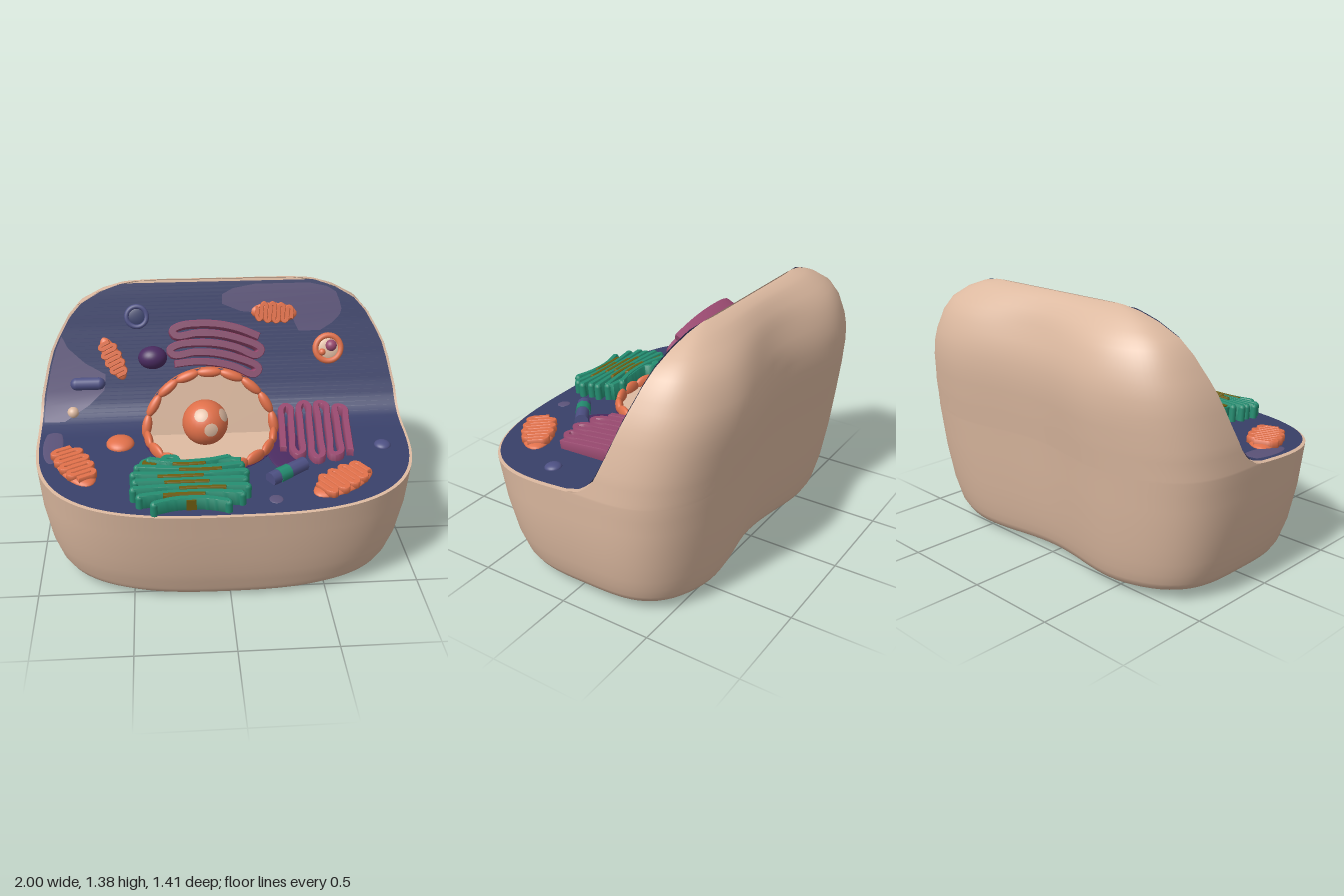
import * as THREE from 'three';
import { toCreasedNormals, mergeGeometries, mergeVertices } from 'three/addons/utils/BufferGeometryUtils.js';

const mat = (name, color, side = THREE.FrontSide) => {
  const m = new THREE.MeshStandardMaterial({ color, side });
  m.name = name;
  return m;
};
const M = {
  membrane: mat('membrane beige', 0xdcb9a0, THREE.DoubleSide),
  cytoplasm: mat('cytoplasm navy', 0x394069, THREE.DoubleSide),
  patch: mat('patch lavender', 0x5b5379, THREE.DoubleSide),
  orange: mat('orange', 0xe0704a),
  purple: mat('purple', 0x98496f),
  deepPurple: mat('deep purple', 0x7d3d61),
  violet: mat('dark violet', 0x4a2b60),
  green: mat('green', 0x248c70),
  olive: mat('olive', 0x6e5c10),
  slate: mat('slate blue', 0x4d5083),
};

// Heights with half width, front z and back z of the outer body
const LOWER = [[0, 0, -0.05, -0.05], [0.001, 0.76, 0.5, -0.45], [0.012, 0.84, 0.54, -0.52], [0.04, 0.895, 0.565, -0.57],
  [0.08, 0.92, 0.58, -0.592], [0.2, 0.955, 0.62, -0.62], [0.4, 0.985, 0.665, -0.65], [0.65, 1, 0.71, -0.68]];
const UPPER = [[0.65, 1, -0.68], [0.8, 0.985, -0.702], [0.95, 0.95, -0.72], [1.03, 0.925, -0.72], [1.1, 0.89, -0.712],
  [1.2, 0.83, -0.68], [1.27, 0.765, -0.635], [1.33, 0.655, -0.57], [1.365, 0.55, -0.515], [1.38, 0.46, -0.47], [1.383, 0.41, -0.445]];
// Height and z of the cut wall
const WALL = [[0.65, -0.05], [0.66, -0.105], [0.68, -0.145], [0.71, -0.18], [0.75, -0.21], [0.825, -0.245],
  [0.97, -0.3], [1.145, -0.36], [1.315, -0.412], [1.383, -0.435]];
const N_FRONT = 3, N_BACK = 3.8;

function lookup(table, y, k) {
  let i = 1;
  while (i < table.length - 1 && table[i][0] < y) i++;
  const a = table[i - 1], b = table[i];
  return THREE.MathUtils.lerp(a[k], b[k], THREE.MathUtils.clamp((y - a[0]) / (b[0] - a[0]), 0, 1));
}
const wallZ = (y) => lookup(WALL, y, 1);
const floorY = (z) => 0.65 - 0.092 * Math.max(0, z + 0.05);

// Rounded square of unit half width at polar angle a
function unitOutline(a, n) {
  const c = Math.cos(a), s = Math.sin(a), r = (Math.abs(c) ** n + Math.abs(s) ** n) ** (-1 / n);
  return [c * r, s * r];
}

// Centre of the outline above the floor, and the unit point where the wall cuts it
const centreZ = (y) => THREE.MathUtils.lerp(-0.05, wallZ(y), ((y - 0.65) / 0.733) ** 1.5);
function cutPoint(y) {
  const zc = centreZ(y), q = Math.max(0, (zc - wallZ(y)) / (zc - lookup(UPPER, y, 2)));
  return [(1 - q ** N_BACK) ** (1 / N_BACK), q];
}
const cutWidth = (y) => lookup(UPPER, y, 1) * cutPoint(y)[0];

// Surface through equal-length rows of points
function loft(rows) {
  const n = rows[0].length, index = [];
  for (let i = 0; i < rows.length - 1; i++)
    for (let j = 0; j < n - 1; j++) {
      const a = i * n + j, c = a + n;
      index.push(a, c, a + 1, a + 1, c, c + 1);
    }
  const g = new THREE.BufferGeometry();
  g.setAttribute('position', new THREE.Float32BufferAttribute(rows.flat(2), 3));
  g.setIndex(index);
  g.computeVertexNormals();
  return g;
}

// One point of the body outline, with a groove down the back
function outline(a, w, zc, zf, zb) {
  const front = Math.sin(a) > 0, [u, v] = unitOutline(a, front ? N_FRONT : N_BACK);
  const x = w * u, depth = front ? zf - zc : zc - zb;
  const wave = Math.abs(x) < 0.58 ? 0.5 + 0.5 * Math.cos(Math.PI * x / 0.58) : 0;
  const groove = front ? 0 : 0.08 * Math.min(1, depth / 0.4) * wave * -v;
  return [x, zc + depth * v + groove];
}

// Closed lower body joined to the upright back lobe
function outerShell() {
  const low = [0, 0.001, 0.006, 0.012, 0.025, 0.04, 0.06, 0.08, 0.13, 0.2, 0.3, 0.4, 0.5, 0.58, 0.65];
  const high = [0.65, 0.66, 0.68, 0.71, 0.75, 0.8, 0.88, 0.95, 1.03, 1.1, 1.15, 1.2, 1.235, 1.27, 1.3, 1.33, 1.35, 1.365, 1.38, 1.383];
  const lower = loft(low.map((y) => Array.from({ length: 129 }, (_, j) => {
    const [x, z] = outline(j / 128 * Math.PI * 2, lookup(LOWER, y, 1), -0.05, lookup(LOWER, y, 2), lookup(LOWER, y, 3));
    return [x, y / 0.65 * floorY(z) + 0.035 * x * x * (1 - y / 0.65), z];
  })));
  const upper = loft(high.map((y) => Array.from({ length: 65 }, (_, j) => {
    const [u, v] = cutPoint(y), a0 = Math.atan2(v, u), a = Math.PI + a0 + (Math.PI - 2 * a0) * j / 64;
    const [x, z] = outline(a, lookup(UPPER, y, 1), centreZ(y), 0, lookup(UPPER, y, 2));
    return [x, y, z];
  })));
  const joined = mergeGeometries([lower, upper]);
  joined.deleteAttribute('normal');
  const shell = mergeVertices(joined, 1e-4);
  shell.computeVertexNormals();
  return shell;
}

// Floor that sweeps up into the back wall
function cutFace(inset, lift) {
  const rows = [];
  const add = (w, y, z) => rows.push([[w, y + lift, z + lift], [-w, y + lift, z + lift]]);
  for (let k = 0; k <= 32; k++) {
    const [u, v] = unitOutline((1 - k / 32) * Math.PI / 2, N_FRONT), z = -0.05 + (0.76 - inset) * v;
    add((1 - inset) * u, floorY(z), z);
  }
  for (let k = 1; k <= 36; k++) {
    const y = 0.65 + (0.733 - inset) * k / 36;
    add(cutWidth(y) - inset, y, wallZ(y));
  }
  return loft(rows);
}

// Painted area on the wall from rows of y, left x, right x
const wallPatch = (rows) => loft(rows.map(([y, l, r]) => {
  const w = cutWidth(y) - 0.025;
  return [[Math.min(r, w), y + 0.008, wallZ(y) + 0.011], [Math.max(l, -w), y + 0.008, wallZ(y) + 0.011]];
}));

// Folded sheet: a thick line extruded along z
function ribbon(pts, half, depth) {
  const curve = new THREE.CatmullRomCurve3(pts.map(([x, y]) => new THREE.Vector3(x, y, 0)));
  const n = pts.length * 5, left = [], right = [];
  for (let i = 0; i <= n; i++) {
    const p = curve.getPoint(i / n), t = curve.getTangent(i / n);
    left.push(new THREE.Vector2(p.x - t.y * half, p.y + t.x * half));
    right.unshift(new THREE.Vector2(p.x + t.y * half, p.y - t.x * half));
  }
  const g = new THREE.ExtrudeGeometry(new THREE.Shape([...left, ...right]),
    { depth, bevelThickness: 0.004, bevelSize: 0.003, bevelSegments: 1 });
  return toCreasedNormals(g, 0.8);
}

// Back-and-forth path of n rows along x
function serpentine(n, pitch, len, bow = 0) {
  const pts = [];
  for (let i = 0; i < n; i++) {
    const y = (i - (n - 1) / 2) * pitch, d = i % 2 ? -1 : 1, h = len(i) / 2;
    for (const u of [-1, -0.5, 0, 0.5, 1]) pts.push([u * d * h, y - bow * (u * h) ** 2]);
    if (i < n - 1) pts.push([d * (h + pitch * 0.45), y + pitch / 2 - bow * h * h]);
  }
  return pts;
}

export function createModel() {
  const root = new THREE.Group();
  const add = (parent, name, g, m, x = 0, y = 0, z = 0) => {
    const o = new THREE.Mesh(g, m);
    o.name = name;
    o.position.set(x, y, z);
    parent.add(o);
    return o;
  };
  const ball = (r, sx = 1, sy = 1, sz = 1) => new THREE.SphereGeometry(r, 28, 18).scale(sx, sy, sz);
  const ring = (r, t) => new THREE.TorusGeometry(r, t, 10, 32).rotateX(Math.PI / 2);
  // Groups whose local y points out of the floor or the wall
  const spot = (name, x, y, z, tilt, turn) => {
    const o = new THREE.Group(), inner = new THREE.Group();
    o.name = name;
    o.position.set(x, y, z);
    o.rotation.x = tilt;
    inner.rotation.y = turn;
    o.add(inner);
    root.add(o);
    return inner;
  };
  const onFloor = (name, x, z, turn = 0) => spot(name, x, floorY(z) + 0.006, z, 0.09, turn);
  const onWall = (name, x, y, turn = 0) =>
    spot(name, x, y, wallZ(y) + 0.006, Math.atan2(1, -(wallZ(y + 0.03) - wallZ(y - 0.03)) / 0.06), turn);

  // Outer body and cut interior
  add(root, 'membrane', outerShell(), M.membrane);
  add(root, 'membraneRim', cutFace(0, 0), M.membrane);
  add(root, 'cytoplasm', cutFace(0.016, 0.006), M.cytoplasm);
  add(root, 'rightPatch', wallPatch([[1.1, 0.44, 0.56], [1.14, 0.42, 0.63], [1.18, 0.4, 0.67], [1.21, 0.12, 0.68],
    [1.25, 0.02, 0.67], [1.3, 0.02, 0.65], [1.33, 0.08, 0.6], [1.35, 0.2, 0.5]]), M.patch);
  add(root, 'leftPatch', wallPatch([[0.68, -1, -0.86], [0.75, -1, -0.72], [0.82, -1, -0.64], [0.9, -1, -0.63],
    [0.96, -1, -0.74], [1.04, -1, -0.83], [1.1, -1, -0.86]]), M.patch);
  add(onFloor('floorPatch', 0.22, 0.59), 'patch', ball(0.035, 1, 0.15, 1), M.patch);
  add(onFloor('sidePatch', -0.91, 0.06), 'patch', ball(0.14, 0.38, 0.04, 1.2), M.patch);

  // Nucleus: leaning dome, cream cut faces and a chunky envelope
  const nucleus = new THREE.Group();
  nucleus.name = 'nucleus';
  nucleus.position.set(-0.07, 0.65, 0);
  root.add(nucleus);
  const dome = new THREE.Group();
  dome.name = 'dome';
  dome.rotation.x = -0.24;
  nucleus.add(dome);
  add(dome, 'envelope', new THREE.SphereGeometry(0.37, 40, 24, Math.PI, Math.PI, 0, Math.PI * 0.6), M.orange);
  add(dome, 'cutFace', new THREE.CircleGeometry(0.355, 40, 0, Math.PI), M.membrane, 0, 0, 0.002);
  const base = new THREE.Group();
  base.name = 'base';
  base.rotation.x = 0.09;
  nucleus.add(base);
  add(base, 'baseRim', new THREE.CylinderGeometry(0.36, 0.37, 0.04, 40), M.violet, 0, -0.015, 0);
  add(base, 'baseFace', new THREE.CircleGeometry(0.34, 40, Math.PI, Math.PI).rotateX(-Math.PI / 2), M.membrane, 0, 0.01, 0);
  for (let i = 0; i < 9; i++) {
    const a = (i + 0.5) / 9 * Math.PI, c = Math.cos(a), s = Math.sin(a);
    add(dome, 'envelopeChunk', ball(0.03, 0.9, 2.25, 0.9), M.orange, c * 0.346, s * 0.346, 0).rotation.z = a;
    add(base, 'envelopeChunk', ball(0.03, 0.75, 1.4, 2.25), M.orange, c * 0.338, 0.02, s * 0.338).rotation.y = -a;
  }
  add(root, 'nucleolus', ball(0.122), M.orange, -0.1, 0.75, 0.04);
  for (const dir of [[0.76, 0.5, 0.35], [-0.2, 0.65, 0.65], [0.2, 0.1, 0.95]]) {
    const cap = add(root, 'nucleolusSpot', new THREE.SphereGeometry(0.125, 16, 5, 0, Math.PI * 2, 0, 0.3), M.membrane, -0.1, 0.75, 0.04);
    cap.quaternion.setFromUnitVectors(new THREE.Vector3(0, 1, 0), new THREE.Vector3(...dir).normalize());
  }

  // Folded sheets above and beside the nucleus
  const top = add(root, 'upperFoldedSheets', ribbon(serpentine(5, 0.051, (i) => 0.42 + 0.03 * (i % 2), 0.8), 0.016, 0.27),
    [M.deepPurple, M.purple], -0.02, 1.02, -0.37);
  top.rotation.set(-0.43, 0, -0.16);
  const side = onFloor('sideFoldedSheets', 0.49, 0.04, Math.PI / 2 - 0.08);
  add(side, 'folds', ribbon(serpentine(8, 0.05, (i) => 0.46 - 0.03 * Math.abs(i - 3)), 0.014, 0.085).rotateX(-Math.PI / 2),
    M.purple, 0, -0.03, 0).rotation.z = 0.07;
  add(onFloor('sheetBase', 0.31, 0.14), 'sheetBase', ball(0.12, 0.8, 0.1, 1.9), M.violet);

  // Stack of curved green sacs with olive cores between them
  const stack = onFloor('sacStack', -0.2, 0.505);
  [0.2, 0.26, 0.28, 0.27, 0.28, 0.25, 0.18].forEach((h, j) => {
    const z = (j - 3) * 0.043, bend = (j - 3) * 0.012;
    const path = (k) => [-1, -0.5, 0, 0.5, 1].map((u) => [u * h * k, -z - bend * (u * k) ** 2]);
    const depth = 0.115 - 0.005 * j;
    add(stack, 'sac', ribbon(path(1), 0.012, depth).rotateX(-Math.PI / 2), M.green, 0, -0.02, 0);
    if (j < 6) add(stack, 'sacCore', ribbon(path(0.4), 0.008, depth + 0.002).rotateX(-Math.PI / 2), M.olive, 0.06 * Math.sin(j * 2), -0.02, 0.022);
    for (const s of [-1, 1])
      add(stack, 'sacEnd', new THREE.CapsuleGeometry(0.02, depth - 0.03, 4, 12), M.green, s * h, depth / 2 - 0.02, z + bend);
  });
  add(stack, 'frontCore', new THREE.BoxGeometry(0.05, 0.06, 0.006), M.olive, 0, 0.03, 0.146);
  add(stack, 'looseLoop', new THREE.CylinderGeometry(0.052, 0.052, 0.09, 24), M.green, -0.2, 0.035, -0.14);
  add(stack, 'loopCore', new THREE.CylinderGeometry(0.036, 0.036, 0.006, 24), M.olive, -0.2, 0.082, -0.14);
  add(stack, 'curledSac', ribbon([[-0.13, 0.13], [-0.12, 0.18], [-0.07, 0.18], [-0.05, 0.14], [0.05, 0.14], [0.15, 0.15], [0.26, 0.14]],
    0.013, 0.1).rotateX(-Math.PI / 2), M.green, 0, -0.01, 0);

  // Bean-shaped organelles with inner folds
  const bean = (o, len, wid) => {
    add(o, 'body', ball(1, len / 2, 0.032, wid / 2), M.orange);
    const n = 9, pitch = len * 0.82 / n;
    const width = (i) => wid * 0.72 * Math.sqrt(1 - ((i - 4) / 5.2) ** 2);
    add(o, 'folds', ribbon(serpentine(n, pitch, width), pitch * 0.33, 0.03).rotateX(-Math.PI / 2).rotateY(Math.PI / 2),
      M.orange, 0, 0.003, 0);
  };
  bean(onFloor('leftBean', -0.785, 0.26, -1.1), 0.38, 0.17);
  bean(onFloor('rightBean', 0.575, 0.465, 0.6), 0.38, 0.17);
  bean(onWall('upperLeftBean', -0.585, 0.985, -1.13), 0.26, 0.095);
  bean(onWall('upperRightBean', 0.305, 1.205, -0.08), 0.26, 0.11);

  // Small vesicles
  add(onFloor('orangeVesicle', -0.555, 0.06), 'body', ball(0.075, 1, 0.5, 1), M.orange);
  const cup = onWall('openVesicle', 0.605, 1.01);
  add(cup, 'rim', ring(0.07, 0.018), M.orange);
  add(cup, 'filling', ball(0.065, 1, 0.3, 1), M.membrane);
  add(cup, 'granule', ball(0.033), M.purple, 0.015, 0.008, -0.015);
  add(cup, 'granule', ball(0.02), M.orange, -0.035, 0.012, 0.02);
  const hollow = onWall('hollowVesicle', -0.45, 1.2);
  add(hollow, 'rim', ring(0.055, 0.014), M.slate);
  add(hollow, 'filling', ball(0.05, 1, 0.2, 1), M.cytoplasm);
  add(onWall('darkVesicle', -0.37, 0.985), 'body', ball(0.08, 1, 0.9, 0.8), M.violet);
  add(onWall('rodVesicle', -0.73, 0.86), 'body', new THREE.CapsuleGeometry(0.036, 0.12, 6, 16).rotateZ(Math.PI / 2), M.slate);
  add(onWall('paleVesicle', -0.815, 0.72), 'body', ball(0.033), M.membrane);
  add(onFloor('smallVesicle', 0.84, 0.15), 'body', ball(0.044, 1, 0.5, 1), M.slate);

  // Short ribbed tube
  const tube = onFloor('tube', 0.3, 0.39, 0.6);
  add(tube, 'body', new THREE.CylinderGeometry(0.038, 0.038, 0.23, 9).rotateZ(Math.PI / 2), M.slate, 0, 0.02, 0);
  add(tube, 'band', new THREE.CylinderGeometry(0.041, 0.041, 0.07, 9).rotateZ(Math.PI / 2), M.green, -0.03, 0.02, 0);
  return root;
}
